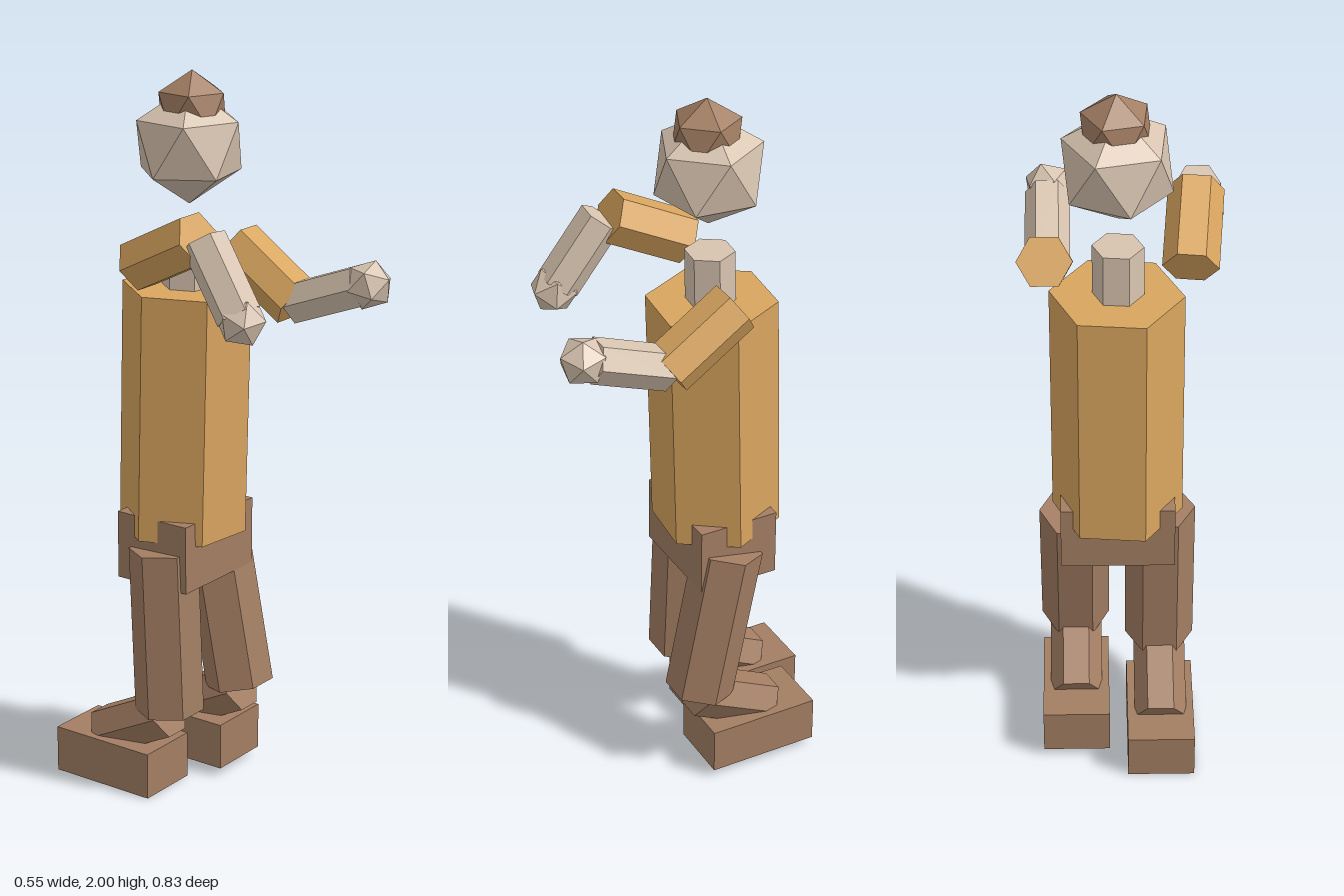
import * as THREE from 'three';

const cloth = new THREE.MeshStandardMaterial({ color: 0xd9a55f });
cloth.name = 'ochreCloth';
const brown = new THREE.MeshStandardMaterial({ color: 0xa37e63 });
brown.name = 'brownLeather';
const skin = new THREE.MeshStandardMaterial({ color: 0xd8c4b0 });
skin.name = 'paleSkin';

const YAW = -0.097; // the upper body is turned slightly

// Give every face its own normal for the faceted look
function flat(geometry) {
  const g = geometry.index ? geometry.toNonIndexed() : geometry;
  g.computeVertexNormals();
  return g;
}

function addMesh(group, name, geometry, material) {
  const mesh = new THREE.Mesh(flat(geometry), material);
  mesh.name = name;
  group.add(mesh);
  return mesh;
}

// Rotation that takes +y along a direction while keeping x sideways
function aim(from, to) {
  const y = to.clone().sub(from).normalize();
  const z = new THREE.Vector3(1, 0, 0).cross(y).normalize();
  const x = y.clone().cross(z);
  return new THREE.Quaternion().setFromRotationMatrix(new THREE.Matrix4().makeBasis(x, y, z));
}

// Six-sided prism between two points, with corners to the left and right
function prism(group, name, a, b, radius, material, yaw = 0) {
  const from = new THREE.Vector3(...a), to = new THREE.Vector3(...b);
  const g = new THREE.CylinderGeometry(radius, radius, from.distanceTo(to), 6, 1, false, Math.PI / 2);
  g.rotateY(yaw);
  const mesh = addMesh(group, name, g, material);
  mesh.position.copy(from).add(to).multiplyScalar(0.5);
  mesh.quaternion.copy(aim(from, to));
  return mesh;
}

// Icosahedron standing on one of its corners
function gem(group, name, centre, radius, material) {
  const g = new THREE.IcosahedronGeometry(radius, 0);
  g.rotateZ(-Math.atan(2 / (1 + Math.sqrt(5))));
  const mesh = addMesh(group, name, g, material);
  mesh.position.set(...centre);
  return mesh;
}

function box(group, name, size, centre, material) {
  addMesh(group, name, new THREE.BoxGeometry(...size), material).position.set(...centre);
}

function arm(side, shoulder, elbow, foreStart, wrist, palm) {
  const group = new THREE.Group();
  group.name = side + 'Arm';
  prism(group, side + 'UpperArm', shoulder, elbow, 0.073, cloth);
  prism(group, side + 'Forearm', foreStart, wrist, 0.06, skin);
  const hand = gem(group, side + 'Hand', palm, 0.067, skin);
  hand.quaternion.copy(aim(new THREE.Vector3(...foreStart), new THREE.Vector3(...palm)));
  return group;
}

function leg(side, x, hip, knee, shinTop, ankle, shoe) {
  const group = new THREE.Group();
  group.name = side + 'Leg';
  prism(group, side + 'Thigh', [x, ...hip], [x, ...knee], 0.095, brown);
  prism(group, side + 'Shin', [x, ...shinTop], [x, ...ankle], 0.072, brown);
  box(group, side + 'Shoe', [0.184, 0.132, 0.32], [x, ...shoe], brown);
  return group;
}

export function createModel() {
  const model = new THREE.Group();
  model.name = 'figure';

  // Body
  prism(model, 'torso', [0.017, 0.738, -0.131], [0.017, 1.422, -0.113], 0.176, cloth, YAW);
  prism(model, 'neck', [0.014, 1.38, -0.112], [0.014, 1.565, -0.108], 0.067, skin, YAW);
  box(model, 'hips', [0.307, 0.19, 0.23], [0.017, 0.705, -0.12], brown);

  // Head with a cap of hair
  gem(model, 'head', [0.015, 1.802, -0.102], 0.157, skin).rotation.y = YAW;
  gem(model, 'hair', [0.018, 1.9, -0.094], 0.1, brown).rotation.y = YAW;

  // Arms, both reaching forward
  model.add(arm('left', [0.202, 1.5, -0.08], [0.202, 1.367, 0.115],
    [0.197, 1.37, 0.115], [0.197, 1.45, 0.325], [0.195, 1.455, 0.348]));
  model.add(arm('right', [-0.17, 1.513, -0.13], [-0.19, 1.617, 0.08],
    [-0.194, 1.615, 0.1], [-0.212, 1.44, 0.222], [-0.213, 1.428, 0.232]));

  // Legs, given as [y, z] points, one a step ahead of the other
  model.add(leg('left', 0.134, [0.703, -0.108], [0.257, -0.02],
    [0.248, -0.014], [0.14, -0.23], [0.09, -0.18]));
  model.add(leg('right', -0.1, [0.71, -0.108], [0.24, -0.09],
    [0.23, -0.092], [0.12, -0.312], [0.066, -0.258]));

  return model;
}
